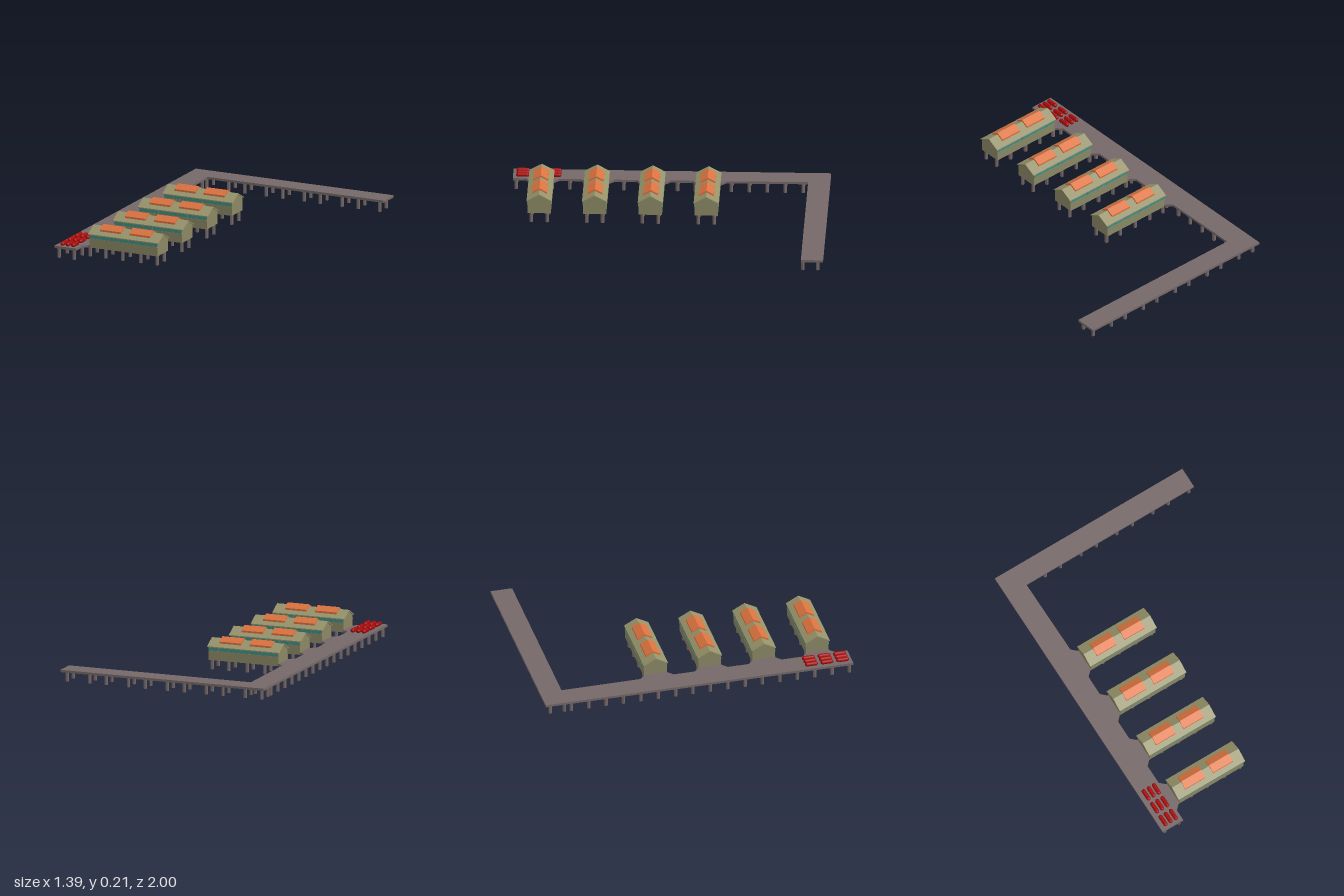
import * as THREE from 'three';

const mat = (color) => new THREE.MeshStandardMaterial({ color, flatShading: true });
const wood = mat(0x756868);
const wall = mat(0x8b8865);
const roofMat = mat(0x97936b);
const glass = mat(0x3f8f85);
const orange = mat(0xdb7340);
const red = new THREE.MeshStandardMaterial({ color: 0xa80a0a });

const DECK_BOTTOM = 0.063, DECK_TOP = 0.078;
const houseZ = [-0.237, 0.115, 0.466, 0.815];

function add(parent, name, geometry, material, x = 0, y = 0, z = 0) {
  const mesh = new THREE.Mesh(geometry, material);
  mesh.name = name;
  mesh.position.set(x, y, z);
  parent.add(mesh);
  return mesh;
}

const toShape = (points) => new THREE.Shape(points.map(([a, b]) => new THREE.Vector2(a, b)));

// Symmetric [z, y] profile swept along x from x0 to x1
function sweepX(points, x0, x1) {
  const g = new THREE.ExtrudeGeometry(toShape(points), { depth: x1 - x0, bevelEnabled: false });
  return g.rotateY(Math.PI / 2).translate(x0, 0, 0);
}

// Inverted V slab: half width, eave height, ridge height, thickness
const gableSlab = (w, eave, ridge, t) => [
  [-w, eave], [-w, eave - t], [0, ridge - t], [w, eave - t], [w, eave], [0, ridge],
];

// L-shaped walkway with a tapered landing in front of every house
function deckGeometry() {
  const inner = -0.543;
  const outline = [[-0.695, -1], [0.695, -1], [0.695, -0.86], [-0.548, -0.86]];
  for (const c of houseZ) {
    outline.push([inner, c - 0.108], [-0.51, c - 0.076], [-0.5, c - 0.076],
      [-0.5, c + 0.076], [-0.51, c + 0.076], [inner, c + 0.108]);
  }
  outline.push([inner, 1], [-0.695, 1]);
  const shape = toShape(outline.map(([x, z]) => [x, -z]));
  const g = new THREE.ExtrudeGeometry(shape, { depth: DECK_TOP - DECK_BOTTOM, bevelEnabled: false });
  return g.rotateX(-Math.PI / 2).translate(0, DECK_BOTTOM, 0);
}

const pileGeometry = new THREE.CylinderGeometry(0.0115, 0.0115, 0.066, 8);
const addPile = (parent, x, z) => add(parent, 'pile', pileGeometry, wood, x, 0.033, z);

function createHouse() {
  const house = new THREE.Group();
  house.name = 'stiltHouse';
  const x0 = -0.503, x1 = -0.026, w = 0.074;
  add(house, 'walls', sweepX([[-w, 0.063], [w, 0.063], [w, 0.147], [0, 0.188], [-w, 0.147]], x0, x1), wall);
  add(house, 'roof', sweepX(gableSlab(0.079, 0.151, 0.194, 0.006), -0.511, -0.018), roofMat);

  // Ridge skylights
  for (const [a, b] of [[-0.442, -0.296], [-0.237, -0.09]]) {
    add(house, 'skylight', sweepX(gableSlab(0.047, 0.18, 0.206, 0.014), a, b), orange);
  }

  // Window bands, seven panes on each side
  const pane = new THREE.BoxGeometry(0.064, 0.02, 0.003);
  for (const side of [-1, 1]) {
    for (let i = 0; i < 7; i++) {
      add(house, 'window', pane, glass, x0 + 0.035 + i * 0.068, 0.134, side * w);
    }
    add(house, 'sill', new THREE.BoxGeometry(x1 - x0, 0.004, 0.006), wall, (x0 + x1) / 2, 0.122, side * w);
    for (const x of [-0.51, -0.4, -0.28, -0.155, -0.04]) addPile(house, x, side * 0.05);
  }
  return house;
}

export function createModel() {
  const model = new THREE.Group();
  model.name = 'pierVillage';
  add(model, 'deck', deckGeometry(), wood);

  // Piles under the long walkway
  const piles = new THREE.Group();
  piles.name = 'deckPiles';
  for (const x of [-0.67, -0.564]) {
    for (let i = 0; i < 17; i++) addPile(piles, x, 0.98 - i * 0.113);
  }
  // Piles under the back arm
  for (const z of [-0.965, -0.872]) {
    for (let x = 0.662; x > -0.7; x -= 0.266) {
      addPile(piles, x, z);
      if (x > -0.6) addPile(piles, x - 0.152, z);
    }
  }
  model.add(piles);

  for (const z of houseZ) {
    const house = createHouse();
    house.position.z = z;
    model.add(house);
  }

  // Red tanks lying in a three by three grid
  const tanks = new THREE.Group();
  tanks.name = 'tanks';
  const tank = new THREE.CapsuleGeometry(0.0135, 0.056, 5, 14).rotateX(Math.PI / 2);
  for (const x of [-0.655, -0.617, -0.579]) {
    for (const z of [0.737, 0.838, 0.939]) add(tanks, 'tank', tank, red, x, DECK_TOP + 0.01, z);
  }
  model.add(tanks);
  return model;
}
